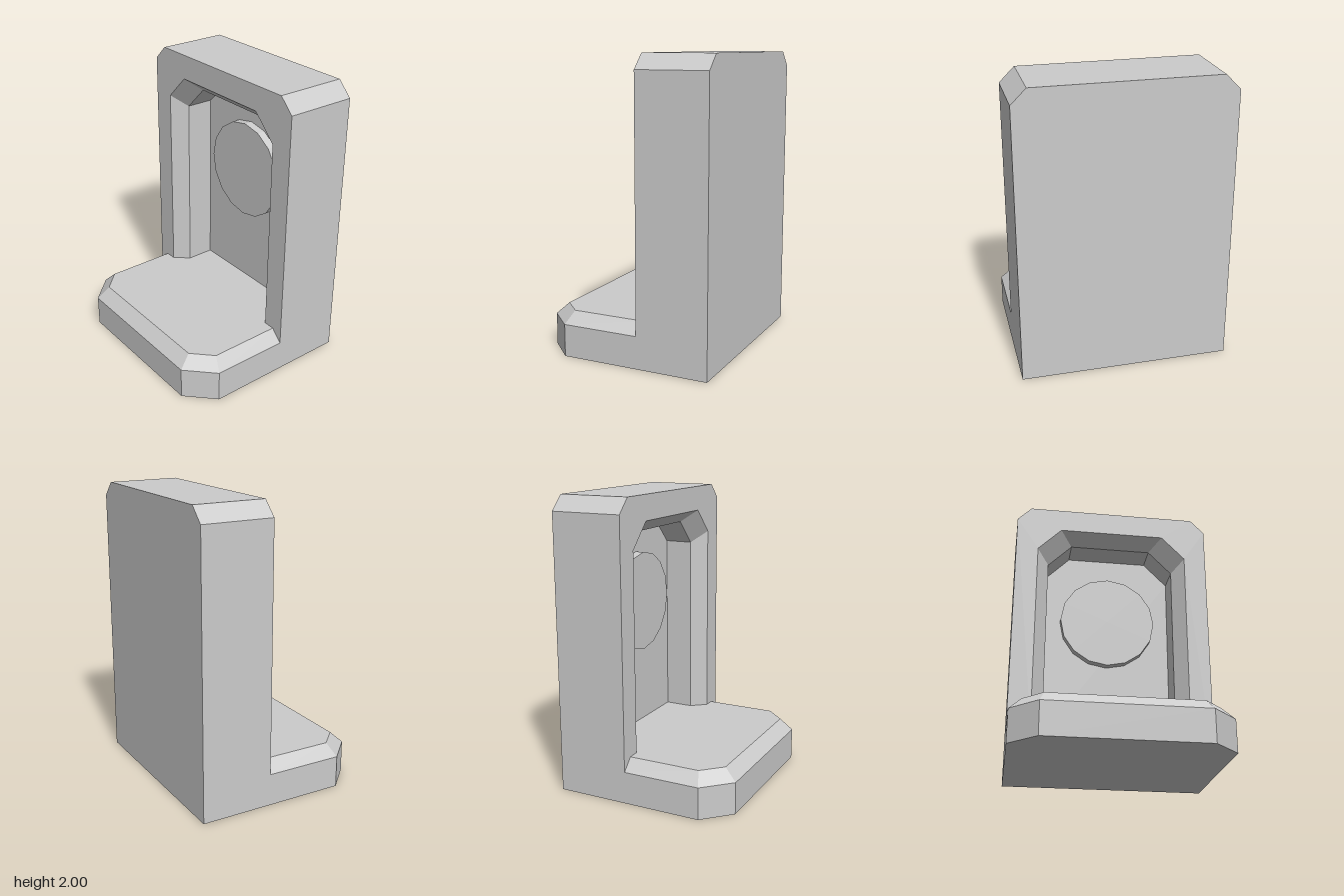
import * as THREE from 'three';

// Arch-shaped ring with two chamfered upper corners, counter-clockwise seen from +z
function archRing(halfWidth, bottom, top, chamfer, z) {
  const w = halfWidth, c = chamfer;
  return [
    [-w, bottom], [w, bottom], [w, top - c],
    [w - c, top], [-w + c, top], [-w, top - c],
  ].map(([x, y]) => new THREE.Vector3(x, y, z));
}

// Skin through the rings in order, closed by a cap at each end
function loft(rings) {
  const pos = [];
  const tri = (...pts) => pts.forEach((p) => pos.push(p.x, p.y, p.z));
  const n = rings[0].length;
  for (let i = 0; i < rings.length - 1; i++) {
    const a = rings[i], b = rings[i + 1];
    for (let j = 0; j < n; j++) {
      const k = (j + 1) % n;
      tri(a[j], a[k], b[k]);
      tri(a[j], b[k], b[j]);
    }
  }
  const first = rings[0], last = rings[rings.length - 1];
  for (let j = 1; j < n - 1; j++) {
    tri(first[0], first[j + 1], first[j]);
    tri(last[0], last[j], last[j + 1]);
  }
  const geo = new THREE.BufferGeometry();
  geo.setAttribute('position', new THREE.Float32BufferAttribute(pos, 3));
  geo.computeVertexNormals();
  return geo;
}

export function createModel() {
  const group = new THREE.Group();
  const material = new THREE.MeshStandardMaterial({ color: 0xcccccc, flatShading: true });
  const add = (name, geometry) => {
    const mesh = new THREE.Mesh(geometry, material);
    mesh.name = name;
    group.add(mesh);
    return mesh;
  };

  const halfWidth = 0.71, back = -0.605, front = -0.11, recessBack = -0.41;
  const floor = 0.3;

  // Upright block: outer shell, front face, bevelled lip, then the recess
  add('uprightWithNiche', loft([
    archRing(halfWidth, 0, 2, 0.1, back),
    archRing(halfWidth, 0, 2, 0.1, front),
    archRing(0.55, floor, 1.83, 0.17, front),
    archRing(0.465, floor, 1.75, 0.17, -0.21),
    archRing(0.465, floor, 1.75, 0.17, recessBack),
  ]));

  // Base step: plan outline drawn as an arch, laid flat pointing to the front
  const base = loft([
    archRing(halfWidth, front, 0.605, 0.18, 0),
    archRing(halfWidth, front, 0.605, 0.18, 0.22),
    archRing(0.63, front, 0.52, 0.13, floor),
  ]);
  base.rotateX(-Math.PI / 2).rotateY(Math.PI);
  add('baseStep', base);

  // Raised disc on the back wall of the niche
  const thickness = 0.06;
  const disc = new THREE.CylinderGeometry(0.35, 0.35, thickness, 16);
  disc.rotateX(Math.PI / 2);
  add('disc', disc).position.set(0, 1.21, recessBack + thickness / 2);

  return group;
}
